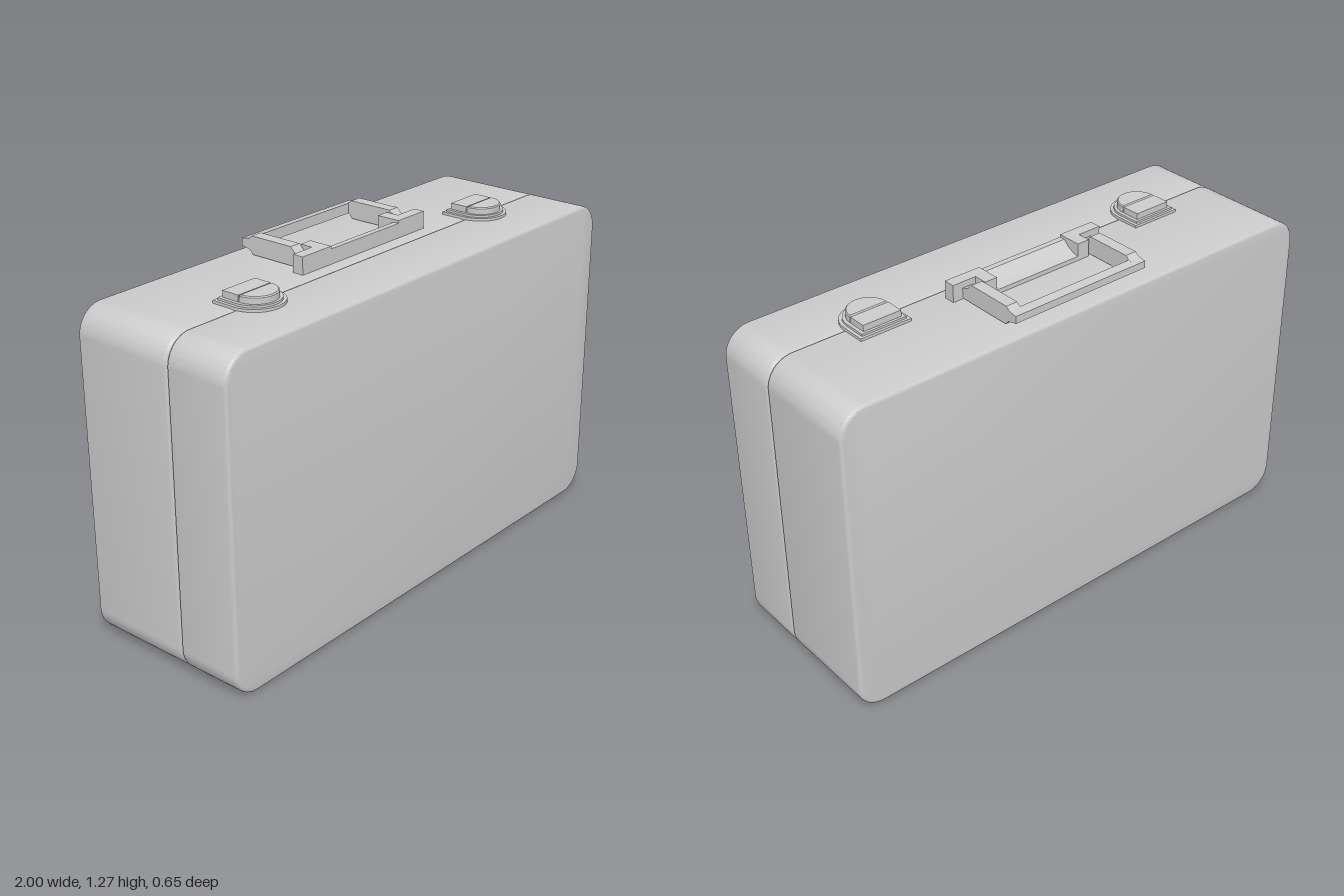
import * as THREE from 'three';
import { toCreasedNormals } from 'three/addons/utils/BufferGeometryUtils.js';

const material = new THREE.MeshStandardMaterial({ color: 0xcccccc });

function add(parent, name, geometry, x = 0, y = 0, z = 0) {
  const mesh = new THREE.Mesh(geometry, material);
  mesh.name = name;
  mesh.position.set(x, y, z);
  parent.add(mesh);
  return mesh;
}

// Box given by its lower and upper limits
function block(parent, name, [x0, x1], [y0, y1], [z0, z1]) {
  return add(parent, name, new THREE.BoxGeometry(x1 - x0, y1 - y0, z1 - z0),
    (x0 + x1) / 2, (y0 + y1) / 2, (z0 + z1) / 2);
}

// Rounded rectangular half of the case, with softened rims
function shell(z0, z1) {
  const b = 0.012, w = 1 - b, y0 = b, y1 = 1.2 - b, r = 0.1 - b;
  const s = new THREE.Shape();
  s.absarc(w - r, y0 + r, r, -Math.PI / 2, 0);
  s.absarc(w - r, y1 - r, r, 0, Math.PI / 2);
  s.absarc(-w + r, y1 - r, r, Math.PI / 2, Math.PI);
  s.absarc(-w + r, y0 + r, r, Math.PI, Math.PI * 1.5);
  s.closePath();
  const g = new THREE.ExtrudeGeometry(s, {
    depth: z1 - z0 - 2 * b, bevelThickness: b, bevelSize: b, bevelSegments: 3, curveSegments: 10,
  });
  g.translate(0, 0, z0 + b);
  return toCreasedNormals(g, 0.6);
}

// Flat D-shaped plate: straight at the back, round at the front
function dPlate(r, back, front, height, bevel = 0) {
  const s = new THREE.Shape();
  const q = r - bevel;
  s.moveTo(q, -back - bevel);
  s.lineTo(-q, -back - bevel);
  s.lineTo(-q, -front);
  if (front > back) s.absarc(0, -front, q, Math.PI, Math.PI * 2);
  s.closePath();
  const g = new THREE.ExtrudeGeometry(s, {
    depth: height - bevel, bevelEnabled: bevel > 0, bevelThickness: bevel, bevelSize: bevel,
    bevelSegments: 1, curveSegments: 14,
  });
  g.rotateX(-Math.PI / 2);
  return toCreasedNormals(g, 0.5);
}

// Side profile of [z, y] points, extruded across x from x0 to x1
function sideProfile(points, x0, x1) {
  const s = new THREE.Shape(points.map(([z, y]) => new THREE.Vector2(-z, y)));
  const g = new THREE.ExtrudeGeometry(s, { depth: x1 - x0, bevelEnabled: false });
  g.rotateY(Math.PI / 2);
  g.translate(x0, 0, 0);
  return g;
}

export function createModel() {
  const model = new THREE.Group();
  model.name = 'briefcase';

  // Two halves meeting at the seam
  add(model, 'frontShell', shell(0.075, 0.325));
  add(model, 'backShell', shell(-0.325, 0.075));

  // Latches
  for (const side of [1, -1]) {
    const latch = new THREE.Group();
    latch.name = side > 0 ? 'leftLatch' : 'rightLatch';
    latch.position.set(0.6 * side, 1.198, 0);
    model.add(latch);
    add(latch, 'latchBase', dPlate(0.1, -0.02, 0.073, 0.012));
    add(latch, 'latchStep', dPlate(0.088, -0.01, 0.073, 0.02));
    add(latch, 'latchFlap', dPlate(0.075, 0.072, 0.076, 0.045, 0.004));
    block(latch, 'latchCatch', [-0.075, 0.075], [0, 0.043], [0, 0.069]);
  }

  // Handle bracket: front wall with taller ends and a sloping middle
  const handle = new THREE.Group();
  handle.name = 'handle';
  model.add(handle);
  add(handle, 'bracketMiddle', sideProfile(
    [[0.027, 1.198], [0.027, 1.254], [0.005, 1.254], [-0.017, 1.235], [-0.04, 1.222], [-0.066, 1.216], [-0.066, 1.198]],
    -0.18, 0.18));

  // Grip arm profile, and the parts repeated on each side
  const arm = [[-0.018, 1.203], [-0.014, 1.24], [-0.04, 1.248], [-0.062, 1.27], [-0.24, 1.27],
    [-0.255, 1.258], [-0.287, 1.253], [-0.287, 1.226], [-0.25, 1.218], [-0.236, 1.203]];
  for (const side of [1, -1]) {
    const span = (a, b) => (side > 0 ? [a, b] : [-b, -a]);
    block(handle, 'bracketEnd', span(0.18, 0.325), [1.198, 1.264], [-0.016, 0.027]);
    block(handle, 'hingeBlock', span(0.18, 0.23), [1.198, 1.264], [-0.066, -0.016]);
    block(handle, 'hingePin', span(0.225, 0.25), [1.215, 1.24], [-0.055, -0.03]);
    add(handle, 'gripArm', sideProfile(arm, ...span(0.24, 0.285)));
  }

  // Grip bar joining the arms
  add(handle, 'gripBar', sideProfile(
    [[-0.253, 1.22], [-0.253, 1.258], [-0.287, 1.253], [-0.287, 1.226]], -0.245, 0.245));
  return model;
}
